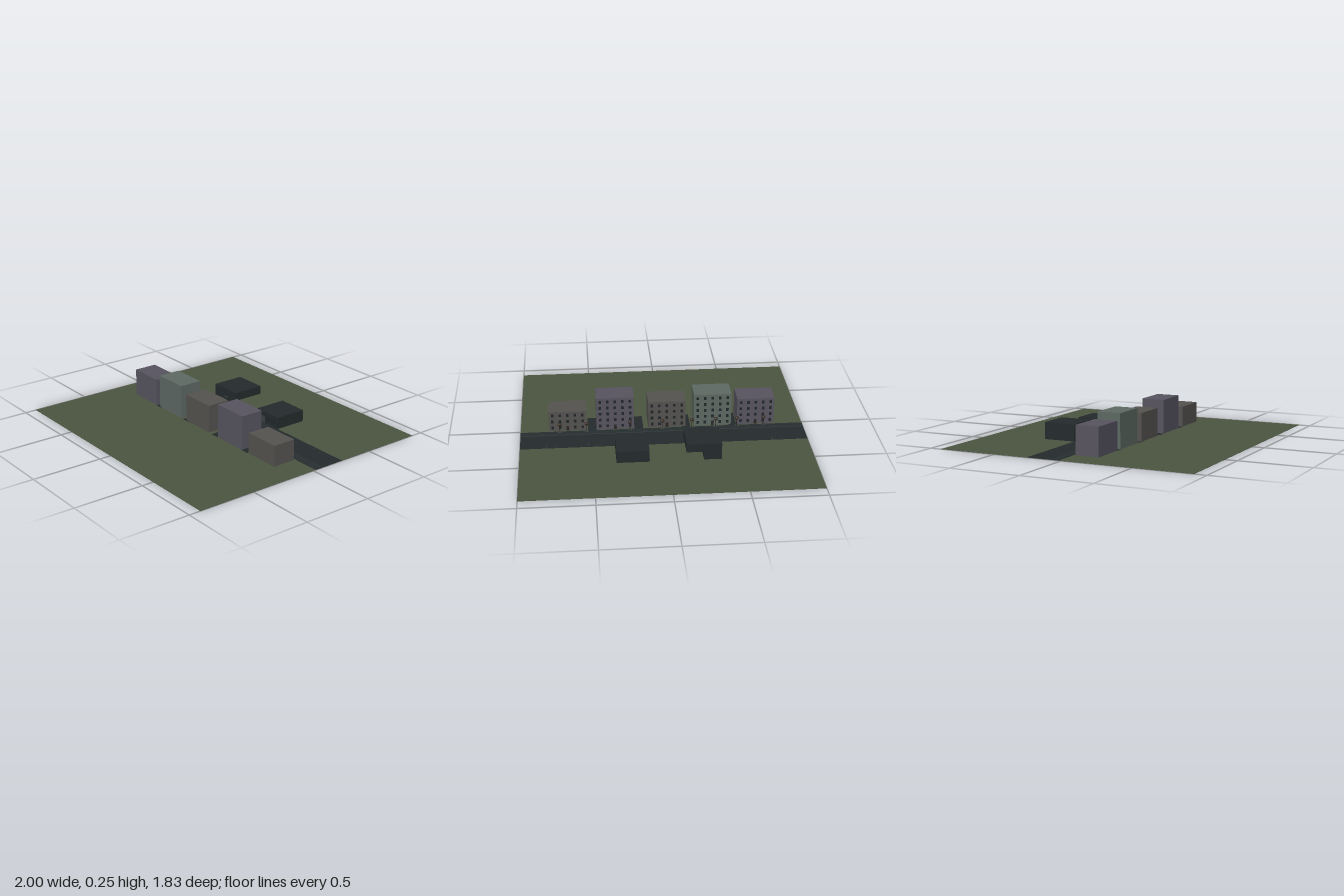
import * as THREE from 'three';

const mat = (color) => new THREE.MeshStandardMaterial({ color, flatShading: true });
const M = {
  grass: mat(0x4a5540), asphalt: mat(0x242b2d), paving: mat(0x272e2f), kerb: mat(0x3a4140),
  purple: mat(0x575460), green: mat(0x5d6963), brown: mat(0x555350),
  dark: mat(0x242b2c), glass: mat(0x20262a), door: mat(0x2c2826), trim: mat(0x3c4042),
  trunk: mat(0x2c2622), crown: mat(0x3a2e26),
};

function add(parent, name, geometry, material, x, y, z) {
  const mesh = new THREE.Mesh(geometry, material);
  mesh.name = name;
  mesh.position.set(x, y, z);
  parent.add(mesh);
  return mesh;
}

// Box given by its limits on each axis
function box(parent, name, material, x0, x1, y0, y1, z0, z1) {
  return add(parent, name, new THREE.BoxGeometry(x1 - x0, y1 - y0, z1 - z0), material,
    (x0 + x1) / 2, (y0 + y1) / 2, (z0 + z1) / 2);
}

function group(parent, name) {
  const g = new THREE.Group();
  g.name = name;
  parent.add(g);
  return g;
}

const G = 0.002; // ground level

// Apartment block with its windows and door facing the street (-z)
function apartment(parent, x0, height, material) {
  const g = group(parent, 'apartmentBlock');
  const width = 0.265, z0 = -0.003;
  box(g, 'walls', material, x0, x0 + width, 0.001, height, z0, 0.166);
  const floors = Math.round(height / 0.05), columns = 5;
  const step = (height - 0.01) / floors;
  for (let f = 0; f < floors; f++) {
    for (let c = 0; c < columns; c++) {
      const x = x0 + width * (c + 0.5) / columns;
      const y = 0.005 + step * (f + 0.5);
      if (f === 0 && c === 2) box(g, 'door', M.door, x - 0.01, x + 0.01, G, 0.038, z0 - 0.002, z0 + 0.002);
      else box(g, 'window', M.glass, x - 0.009, x + 0.009, y - 0.011, y + 0.011, z0 - 0.0015, z0 + 0.002);
    }
  }
}

function tree(parent, x) {
  const g = group(parent, 'tree');
  g.position.set(x, G, -0.028);
  box(g, 'planter', M.kerb, -0.012, 0.012, 0, 0.004, -0.012, 0.012);
  add(g, 'trunk', new THREE.CylinderGeometry(0.002, 0.003, 0.058, 6), M.trunk, 0, 0.029, 0);
  const crown = add(g, 'crown', new THREE.IcosahedronGeometry(0.015, 1), M.crown, 0, 0.064, 0);
  crown.scale.y = 0.8;
}

export function createModel() {
  const model = new THREE.Group();
  model.name = 'streetBlock';

  // Ground, road, pavement and alleys
  const land = group(model, 'land');
  box(land, 'lawn', M.grass, -1, 1, 0, G, -0.917, 0.917);
  box(land, 'road', M.asphalt, -1, 1, 0.001, G + 0.001, -0.25, -0.07);
  box(land, 'pavement', M.paving, -1, 1, 0.001, G + 0.003, -0.07, -0.018);
  box(land, 'kerb', M.kerb, -1, 1, 0.001, G + 0.0035, -0.072, -0.069);
  for (const x of [-0.5, -0.17, 0.165, 0.495])
    box(land, 'alley', M.asphalt, x - 0.031, x + 0.031, 0.001, G + 0.001, -0.018, 0.17);

  // Parking bay lines and manhole covers
  for (const x of [-0.82, -0.755, -0.355, -0.235, -0.185, -0.14, 0.245, 0.53, 0.75, 0.815])
    box(land, 'bayLine', M.kerb, x - 0.0015, x + 0.0015, G, G + 0.0015, -0.249, -0.198);
  for (const x of [-0.15, 0.2])
    add(land, 'manhole', new THREE.CylinderGeometry(0.006, 0.006, 0.002, 12), M.trim, x, G + 0.001, -0.152);

  // Row of apartment blocks
  const row = group(model, 'apartmentRow');
  apartment(row, -0.8, 0.202, M.purple);
  apartment(row, -0.492, 0.246, M.green);
  apartment(row, -0.167, 0.202, M.brown);
  apartment(row, 0.2, 0.246, M.purple);
  apartment(row, 0.536, 0.152, M.brown);

  // Dark building whose upper floor overhangs a driveway
  const shop = group(model, 'overhangBuilding');
  box(shop, 'lowerFloor', M.dark, -0.368, -0.247, 0.001, 0.062, -0.485, -0.25);
  box(shop, 'upperFloor', M.dark, -0.368, -0.127, 0.062, 0.122, -0.485, -0.25);
  box(shop, 'door', M.trim, -0.285, -0.265, G, 0.042, -0.252, -0.248);
  box(shop, 'sign', M.trim, -0.25, -0.22, 0.058, 0.066, -0.25, -0.245);

  // Lower dark building
  const hall = group(model, 'lowBuilding');
  box(hall, 'walls', M.dark, 0.122, 0.346, 0.001, 0.087, -0.485, -0.25);
  box(hall, 'entrance', M.trim, 0.172, 0.21, G, 0.052, -0.252, -0.248);
  for (const x of [0.24, 0.275, 0.31])
    box(hall, 'window', M.glass, x - 0.012, x + 0.012, 0.03, 0.055, -0.252, -0.248);

  // Street trees
  const trees = group(model, 'streetTrees');
  for (const x of [-0.72, -0.53, -0.38, -0.21, 0, 0.23, 0.535, 0.725]) tree(trees, x);

  return model;
}
